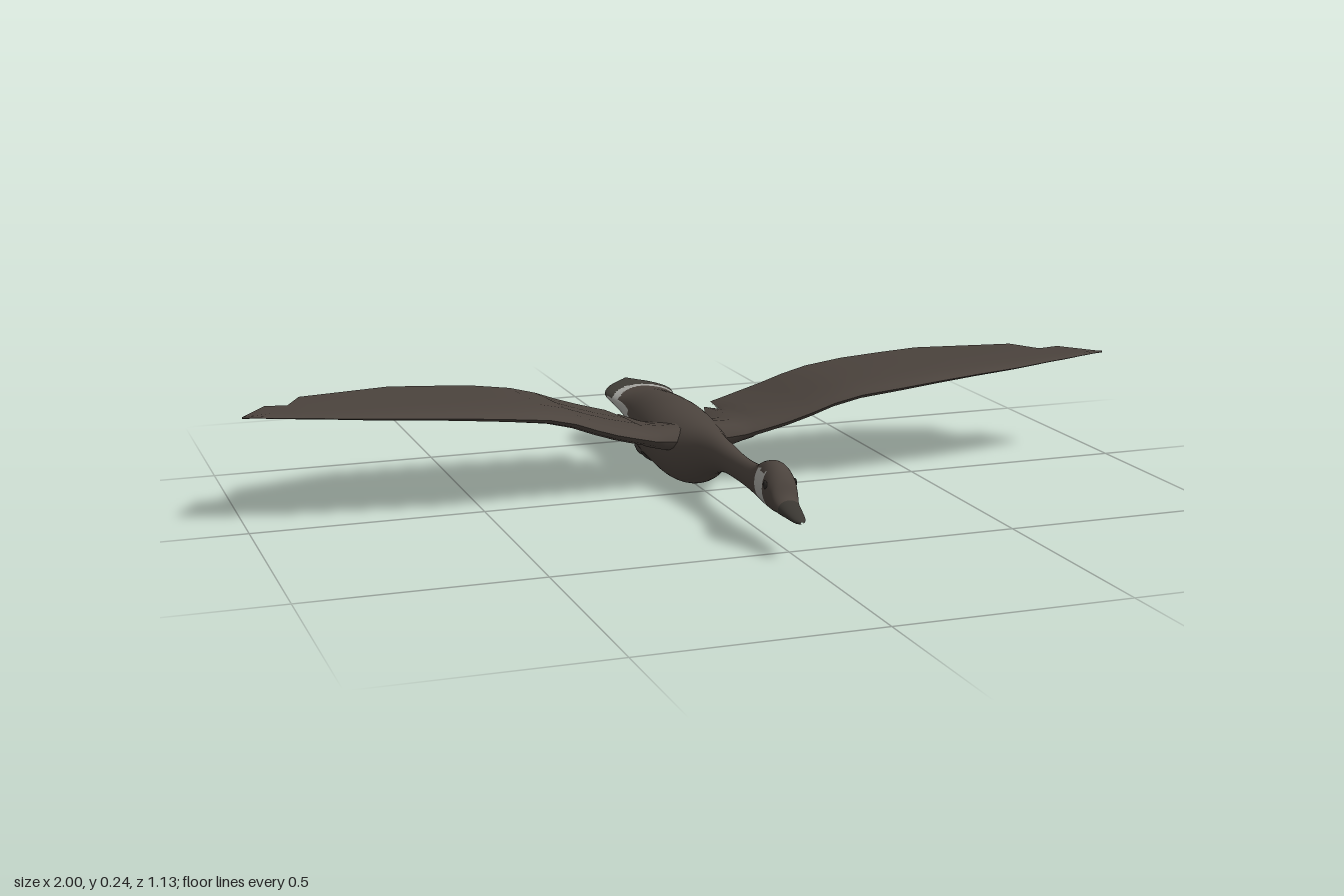
import * as THREE from 'three';

const mat = (name, color) => {
  const m = new THREE.MeshStandardMaterial({ color });
  m.name = name;
  return m;
};

// Smooth surface over a grid of points; pick(x, y, z) chooses a material index per quad.
function gridSurface(rows, flip = false, pick = () => 0) {
  const n = rows[0].length, lists = [];
  for (let i = 0; i < rows.length - 1; i++) {
    for (let j = 0; j < n - 1; j++) {
      const a = i * n + j, b = a + n, p = rows[i][j], q = rows[i + 1][j + 1];
      const k = pick((p[0] + q[0]) / 2, (p[1] + q[1]) / 2, (p[2] + q[2]) / 2);
      (lists[k] ??= []).push(...(flip
        ? [a, a + 1, b, b, a + 1, b + 1]
        : [a, b, a + 1, b, b + 1, a + 1]));
    }
  }
  const geo = new THREE.BufferGeometry();
  geo.setAttribute('position', new THREE.Float32BufferAttribute(rows.flat(2), 3));
  geo.setIndex(lists.flat());
  let start = 0;
  lists.forEach((l, k) => { geo.addGroup(start, l.length, k); start += l.length; });
  geo.computeVertexNormals();
  return geo;
}

// Piecewise linear lookup in [key, value] pairs with ascending keys
function lerpTable(table, t) {
  for (let i = 1; i < table.length; i++) {
    const [a, va] = table[i - 1], [b, vb] = table[i];
    if (t <= b) return va + (vb - va) * Math.max(0, (t - a) / (b - a));
  }
  return table[table.length - 1][1];
}

// Body sections from bill to tail: z, top, bottom, half width
const BODY = [
  [0.567, 0.082, 0.078, 0.003], [0.555, 0.088, 0.075, 0.012], [0.52, 0.1, 0.075, 0.02],
  [0.49, 0.113, 0.074, 0.025], [0.47, 0.145, 0.073, 0.03], [0.45, 0.164, 0.072, 0.034],
  [0.42, 0.172, 0.073, 0.035], [0.38, 0.163, 0.075, 0.03], [0.33, 0.143, 0.078, 0.023],
  [0.27, 0.137, 0.081, 0.021], [0.2, 0.138, 0.082, 0.023], [0.15, 0.142, 0.08, 0.027],
  [0.1, 0.146, 0.069, 0.033], [0.05, 0.148, 0.05, 0.043], [0, 0.149, 0.025, 0.058],
  [-0.05, 0.152, 0.007, 0.074], [-0.1, 0.156, 0.002, 0.083], [-0.2, 0.165, 0.008, 0.084],
  [-0.28, 0.164, 0.013, 0.079], [-0.32, 0.161, 0.03, 0.074], [-0.38, 0.154, 0.065, 0.07],
  [-0.43, 0.148, 0.09, 0.077], [-0.475, 0.145, 0.107, 0.081], [-0.52, 0.143, 0.122, 0.058],
  [-0.567, 0.142, 0.139, 0.003],
];

// Upper edge of the pale rump, by z
const RUMP = [[-0.46, 0.127], [-0.42, 0.126], [-0.34, 0.116], [-0.3, 0.095], [-0.26, 0.06]];

// 0 plumage, 1 pale patch, 2 bill, 3 tail
function bodyColour(x, y, z) {
  if (z > 0.495) return 2;
  if (z < 0.435 && z > 0.38 && y < 0.153 && y > 0.08) return 1;
  const band = -0.475 + 0.04 * Math.min(1, Math.abs(x) / 0.07) ** 2;
  if (y > 0.125 && z < -0.41 && z < band + 0.03) return z > band ? 1 : 3;
  if (z < -0.465) return 3;
  return z < -0.26 && y < lerpTable(RUMP, z) ? 1 : 0;
}

function bodyGeometry() {
  const centre = new THREE.CatmullRomCurve3(BODY.map(([z, t, b]) => new THREE.Vector3(t, b, z)));
  const width = new THREE.CatmullRomCurve3(BODY.map(([z, , , w]) => new THREE.Vector3(w, 0, z)));
  const rows = [];
  for (let i = 0; i <= 192; i++) {
    const c = centre.getPoint(i / 192), w = Math.max(0.001, width.getPoint(i / 192).x);
    const row = [];
    for (let j = 0; j <= 40; j++) {
      const a = (j / 40) * Math.PI * 2;
      row.push([Math.cos(a) * w, (c.x + c.y) / 2 + Math.sin(a) * (c.x - c.y) / 2, c.z]);
    }
    rows.push(row);
  }
  return gridSurface(rows, false, bodyColour);
}

// Wing outline: leading edge and jagged trailing edge, [x, z]
const LEAD = [[0.04, -0.02], [0.08, -0.018], [0.13, -0.012], [0.2, 0.002], [0.3, 0.022], [0.45, 0.05],
  [0.6, 0.036], [0.75, 0.02], [0.9, -0.01], [0.998, -0.032]];
const TRAIL = [[0.04, -0.22], [0.083, -0.23], [0.105, -0.3], [0.124, -0.25], [0.129, -0.323],
  [0.2, -0.325], [0.3, -0.305], [0.64, -0.295], [0.85, -0.215], [0.888, -0.135],
  [0.936, -0.137], [0.998, -0.036]];
// Wing height and half thickness along the span
const HEIGHT = [[0.04, 0.112], [0.1, 0.117], [0.15, 0.13], [0.22, 0.15], [0.3, 0.182], [0.36, 0.198],
  [0.45, 0.211], [0.6, 0.222], [0.85, 0.234], [0.998, 0.24]];
const THICK = [[0.04, 0.03], [0.13, 0.021], [0.3, 0.018], [0.6, 0.012], [0.998, 0.002]];
// Section: fraction from leading edge, relative thickness
const FOIL = [[0, 0], [0.03, 0.5], [0.1, 0.85], [0.25, 1], [0.5, 0.75], [0.75, 0.4], [1, 0.03]];
const SPAN = [0.04, 0.06, 0.083, 0.105, 0.124, 0.129, 0.16, 0.2, 0.25, 0.3, 0.36, 0.45, 0.55, 0.64,
  0.75, 0.85, 0.888, 0.936, 0.998];

function wingSurface(side, face) {
  const rows = SPAN.map(x => {
    const lead = lerpTable(LEAD, x), trail = lerpTable(TRAIL, x);
    const y = lerpTable(HEIGHT, x), h = lerpTable(THICK, x);
    return FOIL.map(([u, t]) => [side * x, y + face * t * h, lead + (trail - lead) * u]);
  });
  return gridSurface(rows, side * face < 0);
}

export function createModel() {
  const model = new THREE.Group();
  model.name = 'flyingGoose';
  const plumage = mat('brown plumage', 0x4b433d);
  const pale = mat('pale patch', 0xa6a6a1);
  const bill = mat('dark bill', 0x3a3732);
  const tail = mat('dark tail', 0x403d37);
  const dark = mat('dark feet and eyes', 0x2b2825);
  const add = (parent, name, geo, material) => {
    const m = new THREE.Mesh(geo, material);
    m.name = name;
    parent.add(m);
    return m;
  };

  // Head, neck, body and tail in one smooth skin
  add(model, 'body', bodyGeometry(), [plumage, pale, bill, tail]);

  for (const s of [1, -1]) {
    const label = s > 0 ? 'left' : 'right';

    // Wing with separate upper and lower faces for a crisp edge
    const wing = new THREE.Group();
    wing.name = label + 'Wing';
    add(wing, 'wingTop', wingSurface(s, 1), plumage);
    add(wing, 'wingUnderside', wingSurface(s, -1), plumage);
    model.add(wing);

    // Eye
    const eye = add(model, label + 'Eye', new THREE.SphereGeometry(0.009, 14, 10), dark);
    eye.scale.x = 0.45;
    eye.position.set(s * 0.032, 0.131, 0.447);

    // Leg folded back with an upturned webbed foot
    const leg = new THREE.CatmullRomCurve3([[-0.21, 0.024], [-0.27, 0.016], [-0.32, 0.015], [-0.345, 0.022]]
      .map(([z, y]) => new THREE.Vector3(s * 0.032, y, z)));
    add(model, label + 'Leg', new THREE.TubeGeometry(leg, 14, 0.008, 8), dark);
    const foot = add(model, label + 'Foot', new THREE.SphereGeometry(1, 14, 10), dark);
    foot.scale.set(0.018, 0.006, 0.028);
    foot.position.set(s * 0.032, 0.028, -0.347);
    foot.rotation.x = 0.75;
  }
  return model;
}
